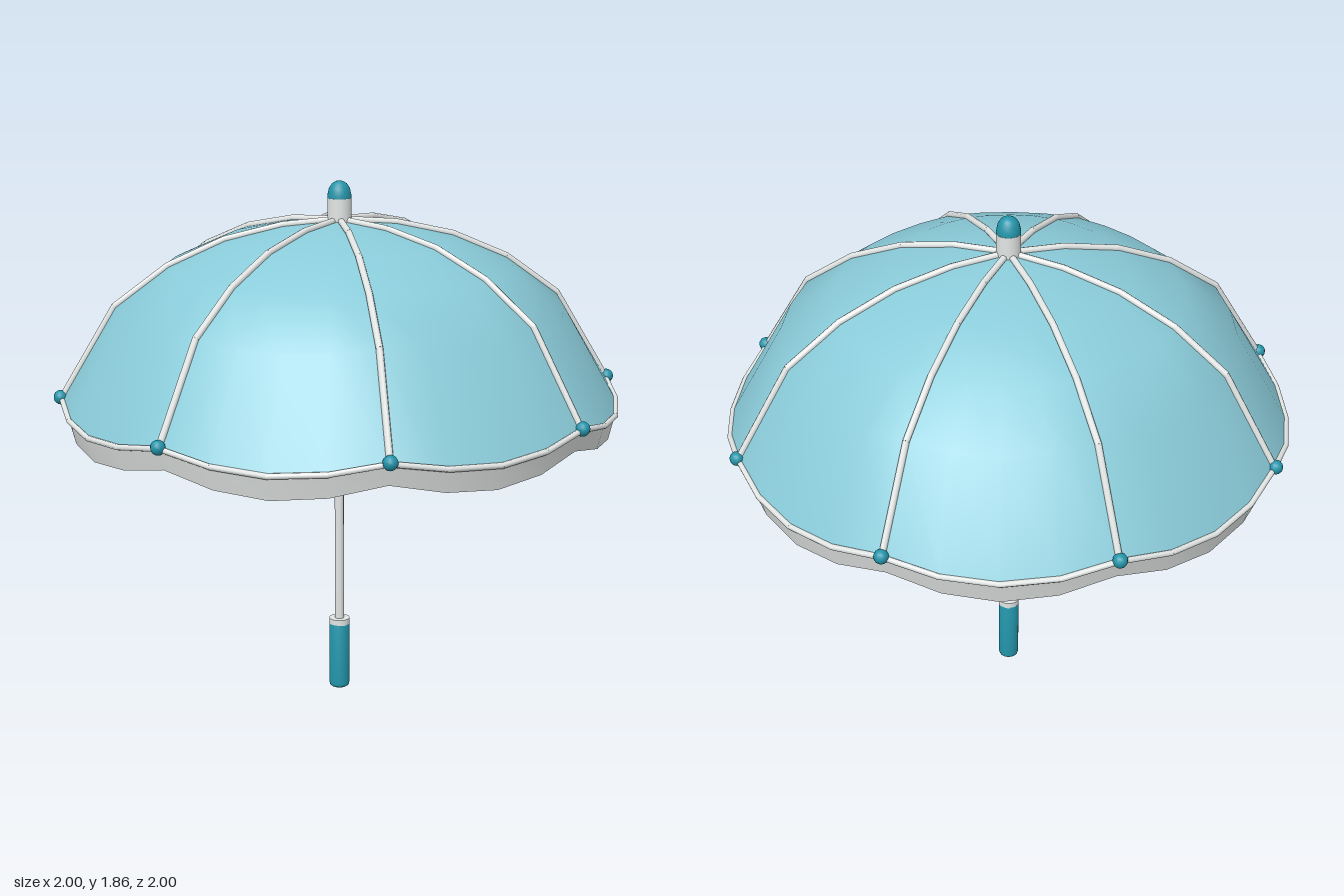
import * as THREE from 'three';
import { mergeGeometries } from 'three/addons/utils/BufferGeometryUtils.js';

const RIBS = 8, STEPS = 4, SIDES = RIBS * STEPS;
// Canopy profile from crown to rim: [radius, height]
const PROFILE = [[0, 1.725], [0.2, 1.71], [0.4, 1.665], [0.595, 1.58], [0.78, 1.445], [0.97, 1.13]];
const V = (x, y, z) => new THREE.Vector3(x, y, z);
const polar = (r, y, a) => V(r * Math.sin(a), y, r * Math.cos(a));
// Scallop: the hem sags between neighbouring ribs
const sag = (j) => 0.043 * Math.sin(Math.PI * (j % STEPS) / STEPS);
const angle = (j) => j / SIDES * Math.PI * 2;

// Closed ring surface from rows of points, listed top to bottom
function ringSurface(rows, pointAt) {
  const pos = [], index = [];
  for (let i = 0; i < rows; i++)
    for (let j = 0; j < SIDES; j++) pos.push(...pointAt(i, j).toArray());
  for (let i = 0; i < rows - 1; i++)
    for (let j = 0; j < SIDES; j++) {
      const k = (j + 1) % SIDES;
      const a = i * SIDES + j, b = i * SIDES + k, c = a + SIDES, d = b + SIDES;
      index.push(a, c, d, a, d, b);
    }
  const g = new THREE.BufferGeometry();
  g.setAttribute('position', new THREE.Float32BufferAttribute(pos, 3));
  g.setIndex(index);
  g.computeVertexNormals();
  return g;
}

// Straight round rod between two points
function rod(a, b, r) {
  const dir = b.clone().sub(a);
  const g = new THREE.CylinderGeometry(r, r, dir.length() + r * 0.3, 8);
  g.applyQuaternion(new THREE.Quaternion().setFromUnitVectors(V(0, 1, 0), dir.normalize()));
  const m = a.clone().add(b).multiplyScalar(0.5);
  return g.translate(m.x, m.y, m.z);
}
const chain = (pts, r) => mergeGeometries(pts.slice(1).map((p, i) => rod(pts[i], p, r)));

export function createModel() {
  const model = new THREE.Group();
  const cloth = new THREE.MeshStandardMaterial({ color: 0x8acbd9, side: THREE.DoubleSide });
  const band = new THREE.MeshStandardMaterial({ color: 0xe2e6e4, side: THREE.DoubleSide });
  const white = new THREE.MeshStandardMaterial({ color: 0xe2e6e4 });
  const teal = new THREE.MeshStandardMaterial({ color: 0x2295aa });
  const add = (name, geo, mat) => {
    const mesh = new THREE.Mesh(geo, mat);
    mesh.name = name;
    model.add(mesh);
    return mesh;
  };
  const lathe = (pts, n = 24) => new THREE.LatheGeometry(pts.map(p => new THREE.Vector2(...p)), n);

  // Cloth canopy and hanging valance
  add('canopy', ringSurface(PROFILE.length, (i, j) => {
    const [r, y] = PROFILE[i];
    return polar(r, y - sag(j) * Math.pow(r / 0.97, 4), angle(j));
  }), cloth);
  add('valance', ringSurface(2, (i, j) => i === 0
    ? polar(0.97, 1.13 - sag(j), angle(j))
    : polar(0.95, 1.055 - sag(j) * 1.25, angle(j))), band);

  // Piping along the hem
  const hem = [];
  for (let j = 0; j <= SIDES; j++) hem.push(polar(0.972, 1.13 - sag(j), angle(j)));
  add('hemPiping', chain(hem, 0.01), white);

  // Ribs, tip beads and stretchers
  for (let k = 0; k < RIBS; k++) {
    const a = k / RIBS * Math.PI * 2;
    add('rib', chain(PROFILE.map(([r, y]) => polar(r, y + 0.004, a)), 0.012), white);
    add('ribTip', new THREE.SphereGeometry(0.025, 12, 8), teal).position.copy(polar(0.975, 1.135, a));
    add('stretcher', rod(polar(0.03, 1.4, a), polar(0.61, 1.55, a), 0.008), white);
  }

  // Shaft with sliding runner
  add('shaft', rod(V(0, 0.2, 0), V(0, 1.73, 0), 0.017), white);
  add('runner', new THREE.CylinderGeometry(0.038, 0.038, 0.07, 16), white).position.y = 1.4;

  // Handle and collar
  add('handle', lathe([[0, 0], [0.029, 0], [0.034, 0.004], [0.037, 0.014], [0.037, 0.245], [0, 0.245]]), teal);
  add('handleCollar', new THREE.CylinderGeometry(0.037, 0.037, 0.022, 24), white).position.y = 0.254;

  // Ferrule and domed cap
  add('ferrule', new THREE.CylinderGeometry(0.042, 0.042, 0.08, 24), white).position.y = 1.763;
  add('cap', lathe([[0.041, 1.8], [0.041, 1.815], [0.036, 1.837], [0.026, 1.852], [0.013, 1.86], [0, 1.862]]), teal);

  return model;
}
